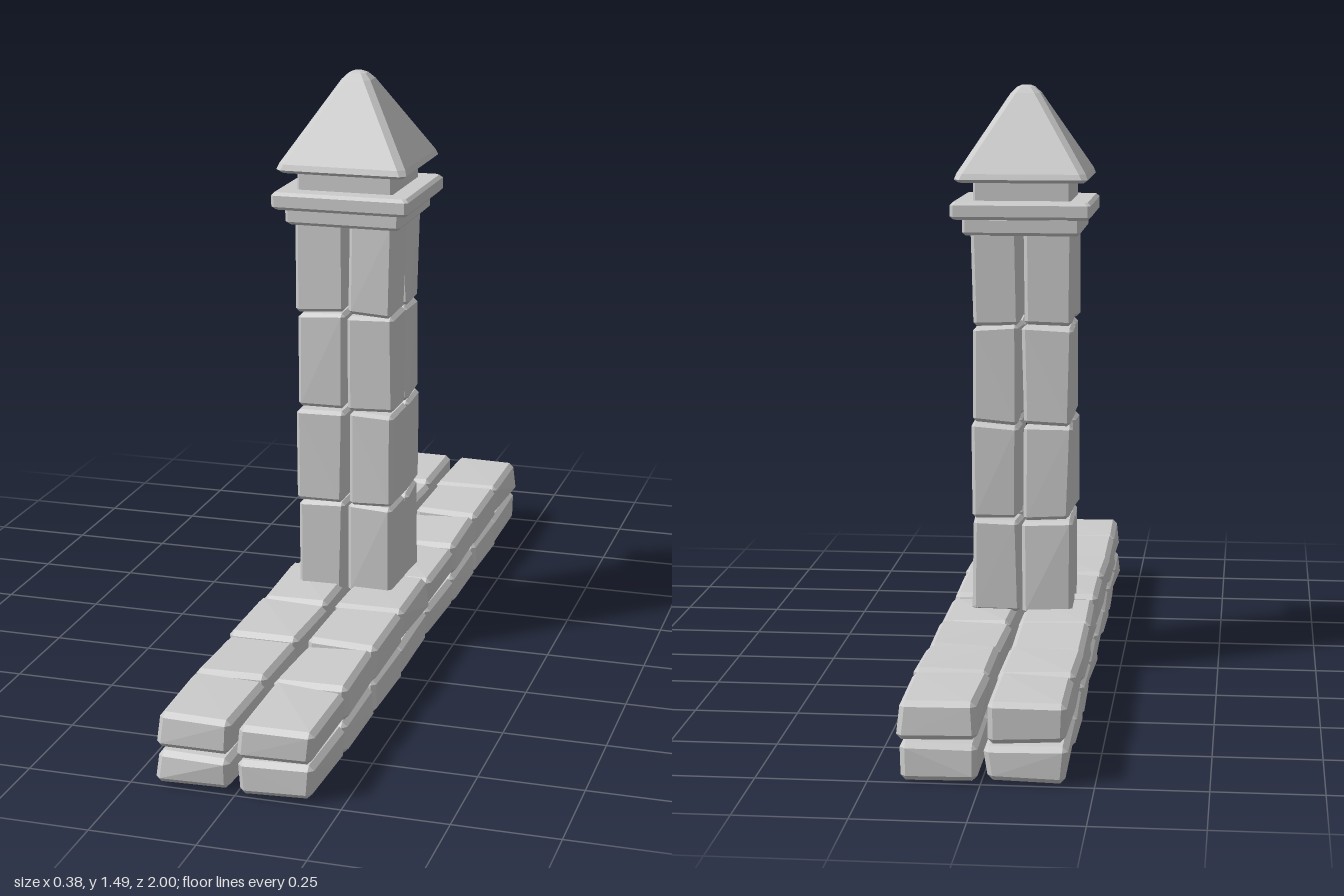
import * as THREE from 'three';
import { ConvexGeometry } from 'three/addons/geometries/ConvexGeometry.js';

const stone = new THREE.MeshStandardMaterial({ color: 0xcccccc, flatShading: true });

// Repeatable noise in the range -1..1
function makeNoise(seed) {
  let s = seed * 7919 + 17;
  return () => {
    s = (s * 16807) % 2147483647;
    return (s / 2147483647) * 2 - 1;
  };
}

function hull(points, name) {
  const mesh = new THREE.Mesh(new ConvexGeometry(points), stone);
  mesh.name = name;
  return mesh;
}

// Worn block: every corner is nudged, then cut into three points for chamfered edges
function block(name, min, max, bevel, wear, seed) {
  const noise = makeNoise(seed);
  for (let i = 0; i < 5; i++) noise();
  const points = [];
  for (const sx of [-1, 1]) for (const sy of [-1, 1]) for (const sz of [-1, 1]) {
    const sign = [sx, sy, sz];
    const corner = sign.map((s, a) => (s < 0 ? min[a] : max[a]) + noise() * wear);
    for (let axis = 0; axis < 3; axis++) {
      const p = corner.map((v, a) => (a === axis ? v : v - sign[a] * bevel));
      points.push(new THREE.Vector3(...p));
    }
  }
  return hull(points, name);
}

// Square piece from rings of [height, half width, corner cut]
function squareStack(name, rings) {
  const points = [];
  for (const [y, h, c] of rings)
    for (const sx of [-1, 1]) for (const sz of [-1, 1]) {
      points.push(new THREE.Vector3(sx * h, y, sz * (h - c)));
      points.push(new THREE.Vector3(sx * (h - c), y, sz * h));
    }
  return hull(points, name);
}

// Slab with chamfered top and bottom edges
function slab(name, y0, y1, half, bevel) {
  return squareStack(name, [
    [y0, half - bevel, bevel], [y0 + bevel, half, bevel],
    [y1 - bevel, half, bevel], [y1, half - bevel, bevel],
  ]);
}

export function createModel() {
  const model = new THREE.Group();
  model.name = 'stonePillarOnWall';

  // Low wall: two courses, two rows, the same four-block run laid twice
  const wall = new THREE.Group();
  wall.name = 'wall';
  const cuts = [0, 0.26, 0.5, 0.745, 1];
  const tops = [0.183, 0.185, 0.178, 0.177];
  const courses = [[0.008, 0.09], [0.096, 0]];
  for (const start of [-1, 0])
    for (let i = 0; i < 4; i++)
      for (const row of [0, 1])
        courses.forEach(([y0, y1], c) => {
          const x = row ? [0.007, 0.182] : [-0.187, -0.01];
          wall.add(block('wallBlock',
            [x[0], y0, start + cuts[i] + 0.003],
            [x[1], c ? tops[i] : y1, start + cuts[i + 1] - 0.003],
            0.012, 0.005, 1 + i * 4 + row * 2 + c));
        });
  model.add(wall);

  // Pillar shaft: four courses of four tall blocks
  const shaft = new THREE.Group();
  shaft.name = 'shaft';
  const levels = [0.165, 0.405, 0.65, 0.9, 1.135];
  for (let i = 0; i < 4; i++)
    for (const sx of [0, 1])
      for (const sz of [0, 1]) {
        const x = sx ? [0.002, 0.121] : [-0.13, -0.008];
        const z = sz ? [0.007, 0.129] : [-0.12, -0.002];
        shaft.add(block('shaftBlock',
          [x[0], levels[i] + 0.002, z[0]],
          [x[1], levels[i + 1] - 0.002, z[1]],
          0.009, 0.005, 40 + i * 4 + sx * 2 + sz));
      }
  model.add(shaft);

  // Stepped collar, neck and pyramid cap
  const top = new THREE.Group();
  top.name = 'cap';
  top.add(
    slab('lowerCollar', 1.125, 1.172, 0.147, 0.008),
    slab('upperCollar', 1.166, 1.21, 0.174, 0.008),
    slab('neck', 1.2, 1.27, 0.122, 0.006),
    squareStack('roof', [
      [1.256, 0.155, 0.012], [1.264, 0.165, 0.014], [1.278, 0.16, 0.016],
      [1.472, 0.037, 0.014], [1.487, 0.022, 0.01], [1.492, 0.01, 0.005],
    ]),
  );
  top.position.set(-0.005, 0, 0.005);
  model.add(top);

  return model;
}
